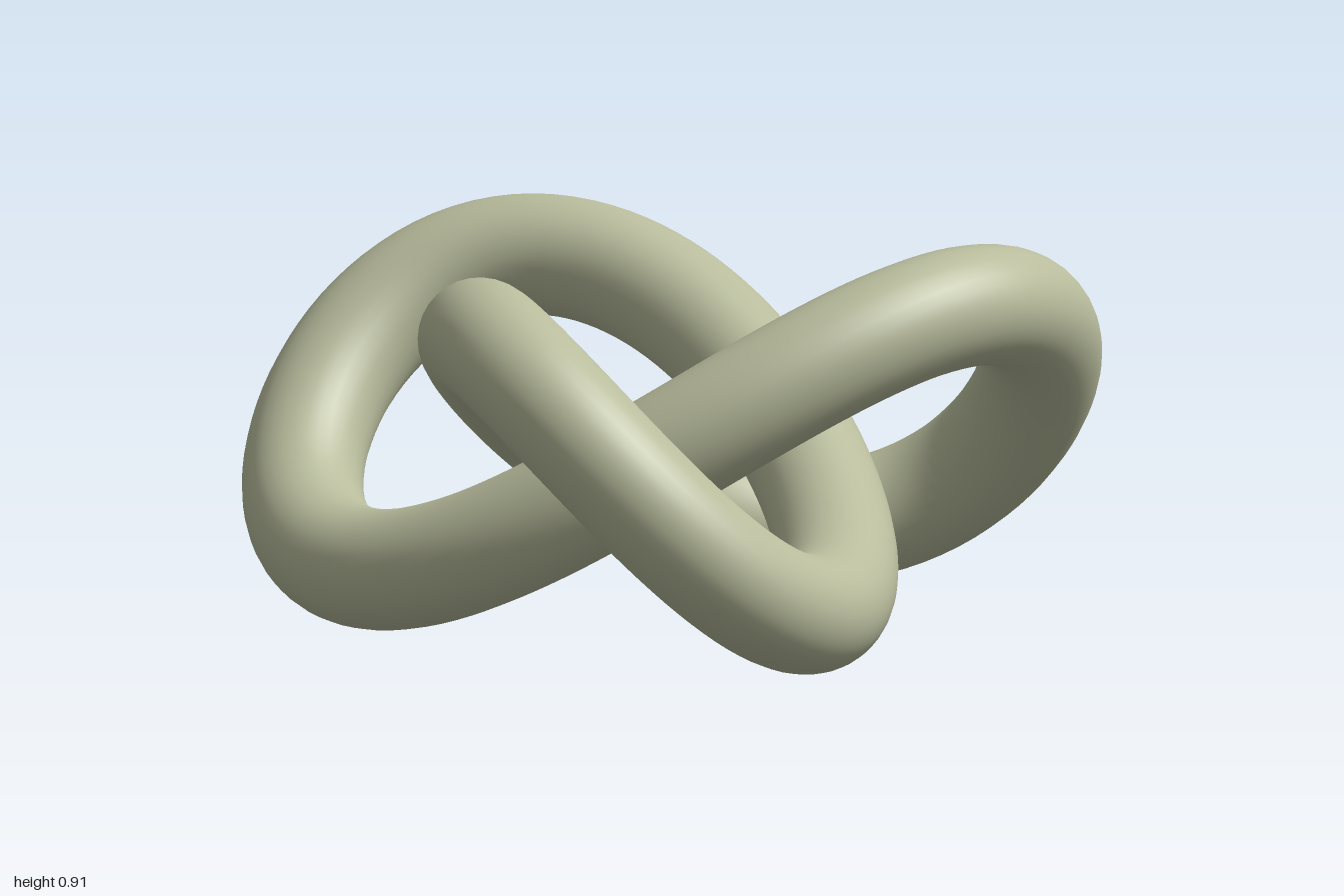
import * as THREE from 'three';

const SCALE = 0.3135;        // size of one knot unit
const TUBE = SCALE * 0.45;   // tube radius

// Trefoil centre line lying flat, with one lobe pointing to -x
class TrefoilCurve extends THREE.Curve {
  getPoint(u, target = new THREE.Vector3()) {
    const t = u * Math.PI * 2;
    return target.set(
      -(2 * Math.cos(2 * t) + Math.cos(t)),
      -Math.sin(3 * t),
      2 * Math.sin(2 * t) - Math.sin(t)
    ).multiplyScalar(SCALE);
  }
}

export function createModel() {
  const group = new THREE.Group();
  group.name = 'trefoilKnot';

  // One continuous round tube
  const geometry = new THREE.TubeGeometry(new TrefoilCurve(), 240, TUBE, 32, true);

  // Centre on x and z, and rest on the ground
  geometry.computeBoundingBox();
  const { min, max } = geometry.boundingBox;
  geometry.translate(-(min.x + max.x) / 2, -min.y, -(min.z + max.z) / 2);

  const knot = new THREE.Mesh(geometry, new THREE.MeshStandardMaterial({ color: 0xb8bc9c }));
  knot.name = 'knotTube';
  group.add(knot);
  return group;
}
